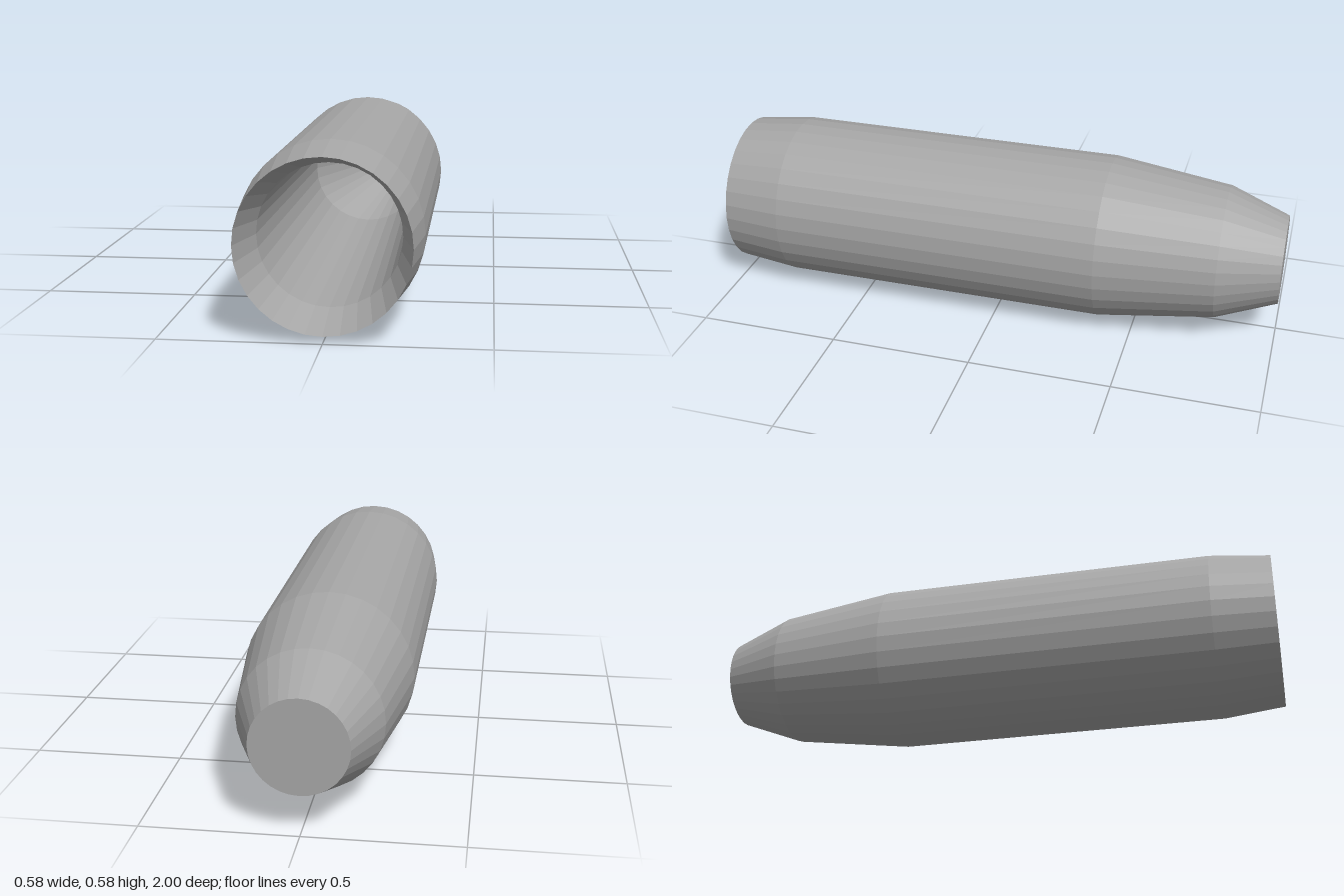
import * as THREE from 'three';

const SIDES = 32;
const RADIUS = 0.289;

// Faceted surface of revolution about z; points are [radius, z]
function revolve(points) {
  const g = new THREE.LatheGeometry(points.map(([r, z]) => new THREE.Vector2(r, z)), SIDES);
  return g.rotateX(Math.PI / 2);
}

// Fan of triangles from a ring to an off-centre tip
function fan(radius, z, tip) {
  const pos = [];
  const at = (i) => {
    const a = (i / SIDES) * Math.PI * 2;
    return [radius * Math.cos(a), radius * Math.sin(a), z];
  };
  for (let i = 0; i < SIDES; i++) pos.push(...at(i), ...at(i + 1), ...tip);
  const g = new THREE.BufferGeometry();
  g.setAttribute('position', new THREE.Float32BufferAttribute(pos, 3));
  g.computeVertexNormals();
  return g;
}

export function createModel() {
  const group = new THREE.Group();
  group.name = 'taperedTube';
  const grey = new THREE.MeshStandardMaterial({
    name: 'grey', color: 0xa6a6a6, flatShading: true, side: THREE.DoubleSide,
  });
  const add = (name, geometry) => {
    const mesh = new THREE.Mesh(geometry, grey);
    mesh.name = name;
    mesh.position.y = RADIUS;
    group.add(mesh);
  };

  // Outer shell, from the narrow closed back to the open mouth
  add('outerShell', revolve([[0.155, -1], [0.235, -0.79], [RADIUS, -0.38], [RADIUS, 0.79], [0.266, 1]]));

  // Flat back cap
  const cap = new THREE.CircleGeometry(0.155, SIDES).rotateY(Math.PI).translate(0, 0, -1);
  add('backCap', cap);

  // Mouth funnel and bore
  add('innerBore', revolve([[0.266, 1], [0.224, 0.83], [0.207, -0.4]]));

  // Bore end, drawn to an off-centre tip
  add('boreEnd', fan(0.207, -0.4, [0.155, 0, -0.995]));
  return group;
}
